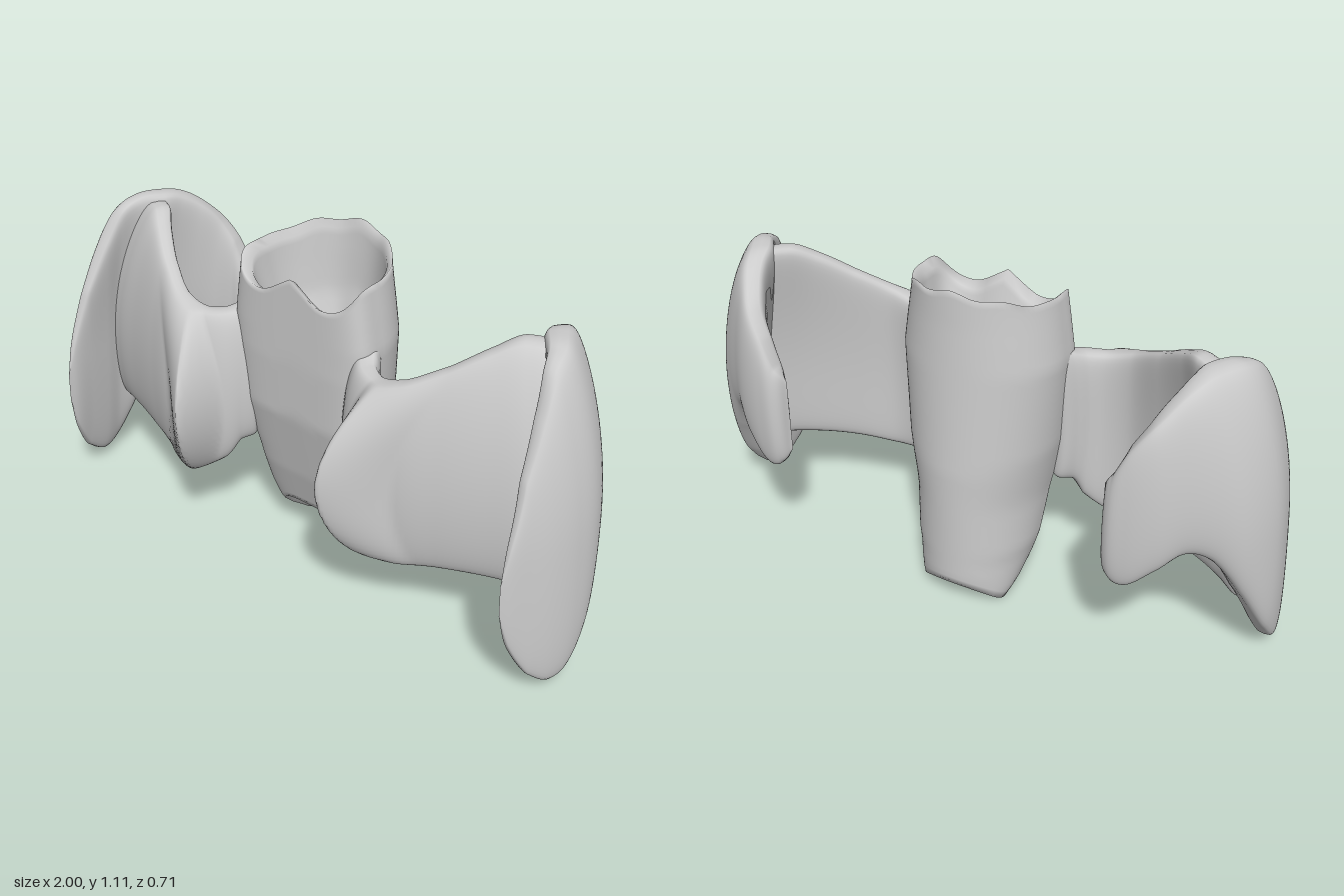
import * as THREE from 'three';

const V = (a) => new THREE.Vector3(...a);
const mat = () => new THREE.MeshStandardMaterial({ color: 0xcccccc, side: THREE.DoubleSide });

// Smooth surface from a rule; v is always closed, u closes on request
function surface(name, nu, nv, rule, closedU, flip) {
  const pos = [], idx = [], rows = closedU ? nu : nu + 1;
  for (let i = 0; i < rows; i++)
    for (let j = 0; j < nv; j++) pos.push(...rule(i / nu, j / nv));
  for (let i = 0; i < nu; i++)
    for (let j = 0; j < nv; j++) {
      const i2 = (i + 1) % rows, j2 = (j + 1) % nv;
      const a = i * nv + j, b = i2 * nv + j, c = i2 * nv + j2, d = i * nv + j2;
      if (flip) idx.push(a, c, b, a, d, c);
      else idx.push(a, b, c, a, c, d);
    }
  const g = new THREE.BufferGeometry();
  g.setAttribute('position', new THREE.Float32BufferAttribute(pos, 3));
  g.setIndex(idx);
  g.computeVertexNormals();
  const m = new THREE.Mesh(g, mat());
  m.name = name;
  return m;
}

// Upright rounded slab along a plan path; relief(x, y) pushes its front face forward.
// Column: [x, z, half thickness, bottom, top, lean]
function slab(name, cols, side, bow = 0, relief = () => 0) {
  const plan = new THREE.CatmullRomCurve3(cols.map((c) => V([c[0], c[2], c[1]])));
  const span = new THREE.CatmullRomCurve3(cols.map((c) => V([c[3], c[4], c[5]])));
  return surface(name, cols.length * 10, 56, (u, v) => {
    const p = plan.getPoint(u), s = span.getPoint(u), t = plan.getTangent(u);
    const len = Math.hypot(t.x, t.z) || 1, a = v * Math.PI * 2, c = Math.cos(a);
    const edge = Math.sign(c) * Math.sqrt(Math.abs(c)), off = Math.max(p.y, 0) * edge;
    const y = (s.x + s.y) / 2 + ((s.y - s.x) / 2) * Math.sin(a);
    const lean = s.z * (0.08 * (y - 0.5) + 0.25 * Math.max(0, y - 0.5) ** 2);
    const x = p.x - (t.z / len) * off - lean;
    const z = p.z + (t.x / len) * off - bow * (y - 0.5) ** 2;
    return [side * x, y, z + Math.max(0, edge) * relief(x, y)];
  }, false, side < 0);
}

// Ridge on the front of the wall: steep toward the column, gentle outward
function ridge(x, y) {
  const d = y - 0.53, x0 = 0.245 + 0.9 * d * d;
  const height = Math.cos(Math.min(Math.PI / 2, Math.abs(d) * (d > 0 ? 4.3 : 3.6)));
  const outer = THREE.MathUtils.clamp(1 - (x - x0 - 0.04) / 0.17, 0, 1);
  return 0.15 * height * THREE.MathUtils.smoothstep(x, x0, x0 + 0.035) * outer ** 1.2;
}

// Linear lookup in [key, value] pairs
function lookup(table, k) {
  for (let i = 1; i < table.length; i++) {
    const [k0, v0] = table[i - 1], [k1, v1] = table[i];
    if (k <= k1) return v0 + ((v1 - v0) * (k - k0)) / (k1 - k0);
  }
  return table[table.length - 1][1];
}

// Hollow central column: D-shaped, with a funnel bore
function column() {
  const width = [[0, 0.145], [0.05, 0.165], [0.2, 0.2], [0.36, 0.212], [0.55, 0.245], [0.85, 0.265], [0.95, 0.25], [1.06, 0.232], [1.2, 0.22]];
  const front = [[0, -0.11], [0.06, -0.03], [0.12, 0.02], [0.3, 0.075], [0.55, 0.13], [0.75, 0.14], [1.2, 0.14]];
  const back = [[0, -0.225], [0.1, -0.24], [0.5, -0.24], [1, -0.208], [1.2, -0.2]];
  const middle = [[0, -0.13], [0.15, -0.04], [0.4, 0.02], [1.2, 0.02]];
  const bore = [[0, 0.86], [0.2, 0.68], [0.42, 0.18], [0.52, 0.13], [0.6, 0.18], [0.78, 0.66], [1, 0.91]];
  const n = 44;
  return surface('centralColumn', 96, 2 * n, (u, v) => {
    const a = u * Math.PI * 2, c = Math.cos(a), s = Math.sin(a);
    const e = s > 0 ? 0.45 : 1;
    const ex = Math.sign(c) * Math.abs(c) ** e, ez = Math.abs(s) ** e;
    // Wavy rim and notched foot
    const rim = s > 0
      ? 0.97 + 0.07 * Math.exp(-((ex / 0.28) ** 2)) + 0.09 * Math.abs(ex) ** 5
      : 1.06 + 0.05 * s * s + 0.007 * Math.sin(a * 9) * s;
    const foot = 0.003 + (s > 0 ? 0.155 * s ** 1.3 : 0.075 * s * s);
    const k = v * 2, outer = k <= 1, h = outer ? k : 2 - k;
    const q = outer ? 1 : lookup(bore, h);
    const y = foot + (rim - foot) * h, cz = lookup(middle, y);
    const zr = s > 0 ? Math.max(lookup(front, y) - cz, 0.01) : lookup(back, y) - cz;
    const shift = outer ? 0 : -0.12 * (1 - q);
    return [ex * lookup(width, y) * q, y, cz + ez * zr * q + shift];
  }, true, true);
}

const WALL = [
  [0.205, 0.06, 0, 0.42, 0.88, 0],
  [0.22, 0.075, 0.05, 0.39, 0.88, 0],
  [0.25, 0.115, 0.055, 0.375, 0.86, 0],
  [0.28, 0.15, 0.055, 0.31, 0.845, 0],
  [0.34, 0.18, 0.05, 0.265, 0.84, 0],
  [0.44, 0.185, 0.046, 0.25, 0.865, 0.1],
  [0.57, 0.14, 0.048, 0.265, 0.925, 0.3],
  [0.7, 0.085, 0.055, 0.27, 0.99, 0.6],
  [0.81, 0.035, 0.065, 0.26, 1.025, 0.9],
  [0.88, 0, 0.06, 0.24, 1.01, 1],
  [0.91, -0.01, 0, 0.25, 0.98, 1],
];

const SIDE = [
  [0.88, 0.295, 0, 0.35, 0.45, 0.5],
  [0.885, 0.265, 0.015, 0.23, 0.56, 0.7],
  [0.9, 0.2, 0.03, 0.1, 0.74, 1],
  [0.92, 0.12, 0.045, 0.04, 0.89, 1],
  [0.933, 0.05, 0.052, 0.06, 1.0, 1],
  [0.925, -0.02, 0.065, 0.15, 1.035, 1],
  [0.88, -0.1, 0.075, 0.32, 1.04, 1],
  [0.825, -0.165, 0.065, 0.46, 1.02, 0.8],
  [0.765, -0.22, 0.055, 0.495, 0.98, 0.6],
  [0.7, -0.27, 0.05, 0.44, 0.92, 0.4],
  [0.63, -0.295, 0.047, 0.38, 0.84, 0.2],
  [0.58, -0.3, 0.042, 0.4, 0.75, 0],
  [0.55, -0.295, 0, 0.45, 0.7, 0],
];

export function createModel() {
  const model = new THREE.Group();
  model.name = 'wingedColumn';
  model.add(column());
  // Mirrored wings: curved wall with a front ridge, and a hooked side fin
  for (const side of [1, -1]) {
    const wing = new THREE.Group();
    wing.name = side > 0 ? 'leftWing' : 'rightWing';
    wing.add(slab('ridgedWall', WALL, side, 0.25, ridge));
    wing.add(slab('sideFin', SIDE, side));
    model.add(wing);
  }
  return model;
}
